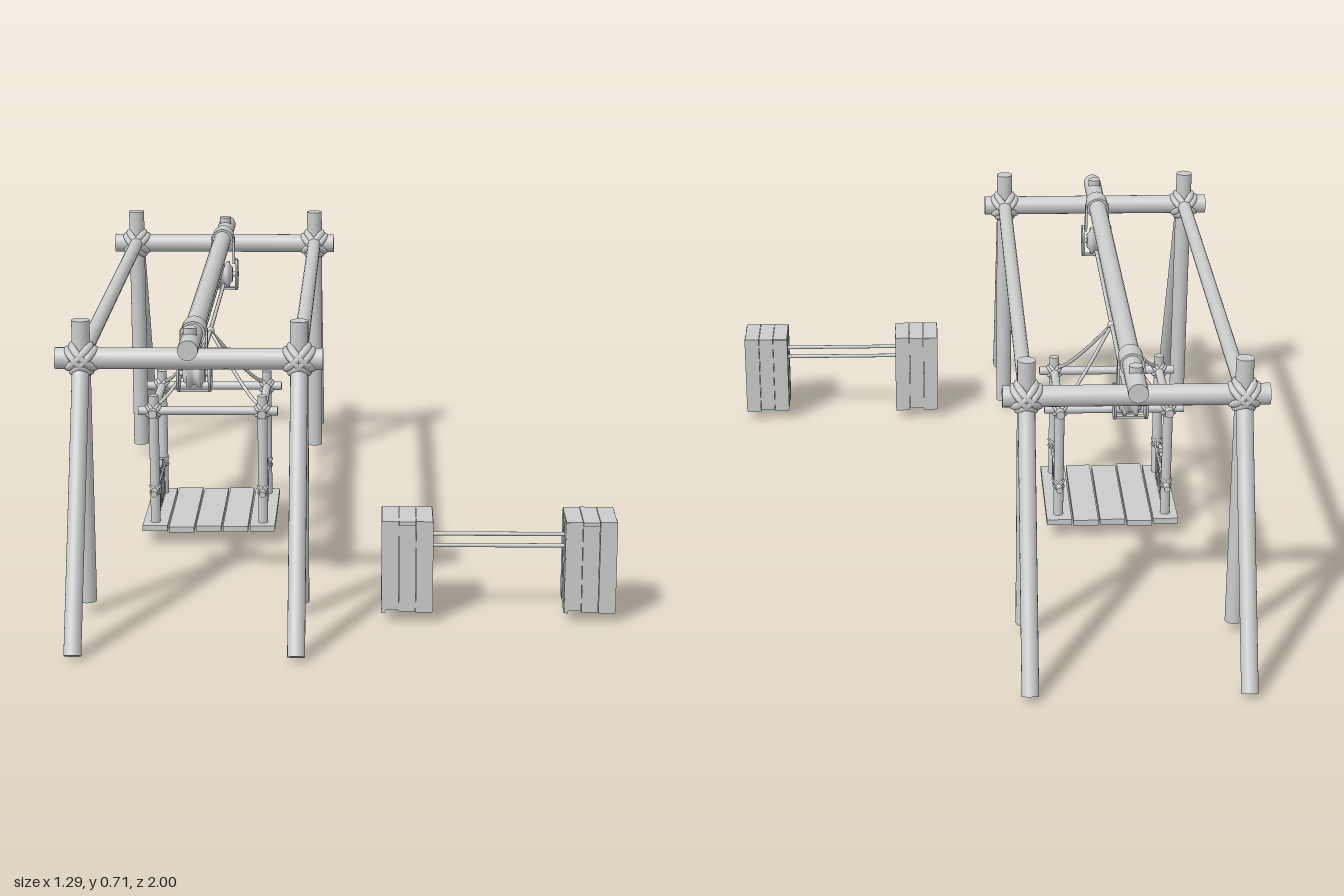
import * as THREE from 'three';

const mat = new THREE.MeshStandardMaterial({ color: 0xcccccc, side: THREE.DoubleSide });
const V = (x, y, z) => new THREE.Vector3(x, y, z);
const UP = V(0, 1, 0);

function add(parent, name, geo, pos = V(0, 0, 0)) {
  const m = new THREE.Mesh(geo, mat);
  m.name = name;
  m.position.copy(pos);
  parent.add(m);
  return m;
}

function group(parent, name) {
  const g = new THREE.Group();
  g.name = name;
  parent.add(g);
  return g;
}

// round pole between two points
function pole(parent, name, a, b, r, sides = 20) {
  const d = b.clone().sub(a);
  const m = add(parent, name, new THREE.CylinderGeometry(r, r, d.length(), sides), a.clone().add(b).multiplyScalar(0.5));
  m.quaternion.setFromUnitVectors(UP, d.normalize());
  return m;
}

const box = (parent, name, w, h, d, x, y, z) => add(parent, name, new THREE.BoxGeometry(w, h, d), V(x, y, z));

// crossed rope rings around a joint of an upright and a pole along x
function lashing(parent, name, pos, r, tube) {
  const g = group(parent, name);
  g.position.copy(pos);
  for (const s of [-1, 1]) {
    for (const k of [-0.5, 0.5]) {
      const ring = add(g, 'ropeRing', new THREE.TorusGeometry(r, tube, 8, 24));
      const normal = V(s, 1, 0).normalize();
      ring.quaternion.setFromUnitVectors(V(0, 0, 1), normal);
      ring.position.copy(normal).multiplyScalar(k * tube * 1.6);
    }
  }
  return g;
}

const CX = -0.34; // centre line of the ropeway

function buildFrame(root) {
  const g = group(root, 'frame');
  for (const s of [-1, 1]) {
    const end = group(g, s > 0 ? 'frontTrestle' : 'backTrestle');
    const pz = 0.669 * s;
    for (const x of [-0.59, -0.09]) {
      pole(end, 'post', V(x, 0.03, pz), V(x, 0.708, pz), 0.021);
      pole(end, 'braceLeg', V(x, 0.01, 0.981 * s), V(x, 0.63, 0.671 * s), 0.02);
      lashing(end, 'postLashing', V(x, 0.618, pz), 0.036, 0.009);
    }
    pole(end, 'crossBeam', V(-0.65, 0.618, pz), V(-0.035, 0.618, pz), 0.025);
    pole(end, 'beamPeg', V(CX, 0.6, pz), V(CX, 0.692, pz), 0.016);
  }
  for (const x of [-0.59, -0.09])
    pole(g, 'sideRail', V(x, 0.62, -0.67), V(x, 0.62, 0.67), 0.018);
  pole(g, 'mainBeam', V(CX, 0.656, -0.75), V(CX, 0.656, 0.75), 0.0235);
}

function buildPulleys(root) {
  const g = group(root, 'ropeway');
  // grooved wheel profile: radius, position along the axle
  const wheel = [[0, -0.026], [0.02, -0.026], [0.023, -0.02], [0.036, -0.017], [0.036, -0.01], [0.027, -0.004],
    [0.027, 0.004], [0.036, 0.01], [0.036, 0.017], [0.023, 0.02], [0.02, 0.026], [0, 0.026]]
    .map(p => new THREE.Vector2(...p));
  for (const s of [-1, 1]) {
    const p = group(g, 'pulley');
    p.position.set(CX, 0.553, 0.553 * s);
    add(p, 'pulleyWheel', new THREE.LatheGeometry(wheel, 28)).rotation.z = Math.PI / 2;
    for (const x of [-0.037, 0.037]) {
      pole(p, 'sidePlate', V(x - 0.003, 0, 0), V(x + 0.003, 0, 0), 0.043, 28);
      box(p, 'hangerStrap', 0.006, 0.075, 0.02, x * 0.8, 0.068, 0);
    }
    pole(p, 'axle', V(-0.042, 0, 0), V(0.042, 0, 0), 0.007, 12);
    box(p, 'spacerBar', 0.074, 0.006, 0.014, 0, -0.04, 0);
    pole(p, 'beamStrap', V(0, 0.103, -0.03), V(0, 0.103, 0.03), 0.029);
  }
  for (const y of [0.58, 0.523])
    pole(g, 'haulRope', V(CX, y, -0.553), V(CX, y, 0.553), 0.005, 10);
}

function buildCage(root) {
  const g = group(root, 'cage');
  g.position.x = CX;
  const hx = 0.138, hz = 0.126;
  for (const sx of [-1, 1]) {
    for (const sz of [-1, 1]) {
      const x = hx * sx, z = hz * sz;
      pole(g, 'cagePost', V(x, 0.03, z), V(x, 0.385, z), 0.0125, 16);
      lashing(g, 'cageLashing', V(x, 0.345, z), 0.019, 0.0045);
      lashing(g, 'handrailLashing', V(x, 0.137, z), 0.015, 0.003);
      // rope sweeping up from the corner to the haul rope
      const path = new THREE.CatmullRomCurve3([V(x, 0.35, z), V(x * 0.76, 0.378, z * 0.76),
        V(x * 0.42, 0.438, z * 0.42), V(x * 0.14, 0.495, z * 0.14), V(0, 0.523, 0)]);
      add(g, 'hangingRope', new THREE.TubeGeometry(path, 24, 0.0045, 8));
    }
    pole(g, 'topRailSide', V(hx * sx, 0.345, -0.166), V(hx * sx, 0.345, 0.166), 0.011, 16);
    pole(g, 'topRailCross', V(-0.177, 0.345, hz * sx), V(0.177, 0.345, hz * sx), 0.011, 16);
    pole(g, 'handrail', V(hx * sx, 0.135, -0.168), V(hx * sx, 0.135, 0.168), 0.008, 14);
    // uneven pickets under each handrail
    [0.09, -0.06, 0.03, -0.1, 0.13].forEach((tilt, i) => {
      const h = [0.1, 0.118, 0.112, 0.118, 0.106][i];
      box(g, 'picket', 0.009, h, 0.027, hx * sx, 0.046 + h / 2, 0.083 - i * 0.0445).rotation.x = tilt;
    });
  }
  add(g, 'ropeKnot', new THREE.SphereGeometry(0.011, 14, 10), V(0, 0.523, 0));
  for (let i = 0; i < 5; i++)
    box(g, 'floorPlank', 0.064, 0.015, [0.325, 0.345, 0.328, 0.336, 0.326][i], (i - 2) * 0.0685, 0.043, 0);
}

// hollow plank crate, open at the bottom
function buildCrate(parent, cx) {
  const g = group(parent, 'crate');
  g.position.set(cx, 0, 0.666);
  const t = 0.01, half = 0.06;
  for (let side = 0; side < 4; side++) {
    const wall = group(g, 'crateWall');
    wall.rotation.y = side * Math.PI / 2;
    for (let i = -1; i <= 1; i++) {
      const bottom = 0.024 + [0.006, 0.002, 0][(i + 1 + side) % 3];
      box(wall, 'crateBoard', 0.0385, 0.244 - bottom, t, i * 0.0395, (0.244 + bottom) / 2,
        half - t / 2 - (i === 0 ? 0.002 : 0));
    }
  }
  for (let i = -1; i <= 1; i++)
    box(g, 'lidBoard', 0.0385, t, i === 0 ? 0.122 : 0.118, i * 0.0395, 0.241, 0);
}

function buildCarrier(root) {
  const g = group(root, 'crateCarrier');
  for (const x of [0.16, 0.585]) buildCrate(g, x);
  for (const y of [0.198, 0.17])
    pole(g, 'carryRod', V(0.17, y, 0.665), V(0.575, y, 0.665), 0.005, 12);
}

export function createModel() {
  const root = new THREE.Group();
  root.name = 'ropewayPlayset';
  buildFrame(root);
  buildPulleys(root);
  buildCage(root);
  buildCarrier(root);
  return root;
}
